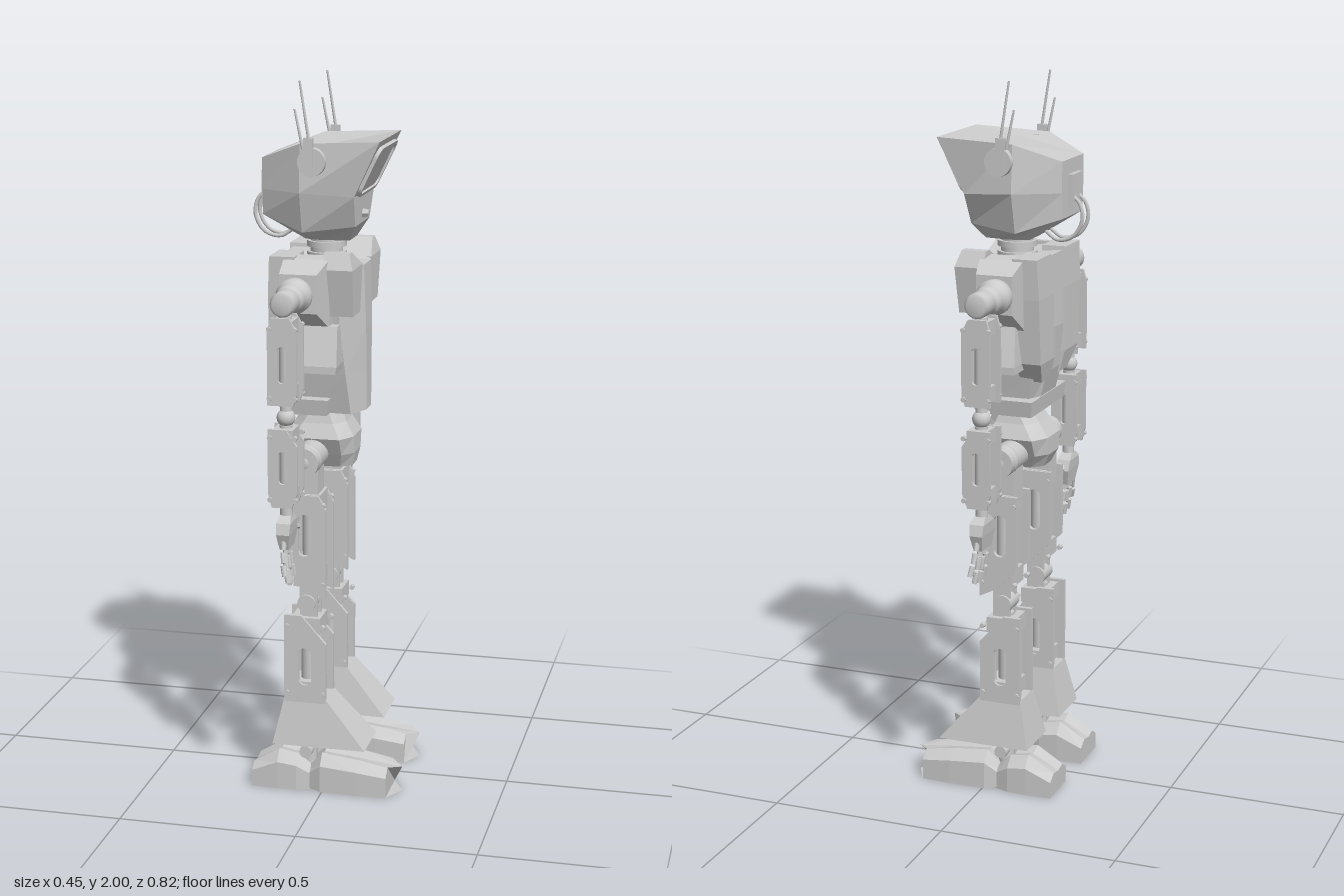
import * as THREE from 'three';

const flat = new THREE.MeshStandardMaterial({ color: 0xcccccc, flatShading: true, side: THREE.DoubleSide });
const smooth = new THREE.MeshStandardMaterial({ color: 0xcccccc });
const V = (p) => new THREE.Vector3(...p);

function add(parent, name, geo, mat = flat) {
  const m = new THREE.Mesh(geo, mat);
  m.name = name;
  parent.add(m);
}

// box given by its ranges on each axis
function box(x0, x1, y0, y1, z0, z1) {
  return new THREE.BoxGeometry(x1 - x0, y1 - y0, z1 - z0).translate((x0 + x1) / 2, (y0 + y1) / 2, (z0 + z1) / 2);
}

// cylinder running between two points
function rod(a, b, r0, r1 = r0, sides = 20) {
  const d = V(b).sub(V(a));
  const q = new THREE.Quaternion().setFromUnitVectors(new THREE.Vector3(0, 1, 0), d.clone().normalize());
  return new THREE.CylinderGeometry(r1, r0, d.length(), sides).applyQuaternion(q).translate(...V(a).addScaledVector(d, 0.5).toArray());
}

function ball(x, y, z, r) {
  return new THREE.SphereGeometry(r, 20, 14).translate(x, y, z);
}

// skin through equal-length rings of points, closed at both ends and turned outward
function loft(rings, capped = true) {
  const tris = [], n = rings[0].length;
  for (let i = 0; i < rings.length - 1; i++)
    for (let j = 0; j < n; j++) {
      const a = rings[i][j], b = rings[i][(j + 1) % n], c = rings[i + 1][(j + 1) % n], d = rings[i + 1][j];
      tris.push([a, c, b], [a, d, c]);
    }
  if (capped) for (let j = 1; j < n - 1; j++) {
    const e = rings[rings.length - 1];
    tris.push([rings[0][0], rings[0][j], rings[0][j + 1]], [e[0], e[j + 1], e[j]]);
  }
  const mid = V(rings[0][0]);
  const vol = tris.reduce((s, [a, b, c]) => s + V(a).sub(mid).dot(V(b).sub(mid).cross(V(c).sub(mid))), 0);
  if (vol < 0) tris.forEach((t) => t.reverse());
  const g = new THREE.BufferGeometry();
  g.setAttribute('position', new THREE.Float32BufferAttribute(tris.flat(2), 3));
  g.computeVertexNormals();
  return g;
}

// ring mirrored across z = 0 from its +z half
const sym = (half) => [...half, ...[...half].reverse().map(([x, y, z]) => [x, y, -z])];
// four-cornered level ring
const quad = (y, x0, x1, z0, z1) => [[x0, y, z0], [x1, y, z0], [x1, y, z1], [x0, y, z1]];

// rounded rectangle outline
function rounded(w, h, r, Type = THREE.Shape) {
  const s = new Type();
  [[w - r, h - r, 0], [r - w, h - r, 0.5], [r - w, r - h, 1], [w - r, r - h, 1.5]]
    .forEach(([x, y, a]) => s.absarc(x, y, r, a * Math.PI, (a + 0.5) * Math.PI));
  return s;
}

// side plate cut from an x-y outline with a rounded slot
function plate(pts, slot, z, t) {
  const s = new THREE.Shape(pts.map((p) => new THREE.Vector2(...p)));
  const [cx, cy, w, h] = slot;
  s.holes.push(new THREE.Path(rounded(w, h, w * 0.95, THREE.Path).getPoints(5).map((p) => p.add(new THREE.Vector2(cx, cy)))));
  return new THREE.ExtrudeGeometry(s, { depth: t, bevelEnabled: false, curveSegments: 5 }).translate(0, 0, z);
}

// open limb: two slotted plates, end blocks, a piston and corner bolts
function limb(parent, name, pts, slot, z, hw, y0, y1) {
  const g = new THREE.Group();
  g.name = name;
  const xs = pts.map((p) => p[0]), x0 = Math.min(...xs), x1 = Math.max(...xs), cx = (x0 + x1) / 2;
  const t = hw * 0.24, h = y1 - y0, hx = (x1 - x0) / 2;
  for (const s of [-1, 1]) {
    add(g, 'sidePlate', plate(pts, slot, s > 0 ? z + hw - t : z - hw, t));
    for (const y of [y0 + h * 0.12, y1 - h * 0.12])
      for (const dx of [-0.85, 0.85])
        add(g, 'bolt', rod([cx + dx * hx, y, z + s * hw * 0.8], [cx + dx * hx, y, z + s * hw * 1.12], 0.007, 0.007, 8));
  }
  add(g, 'upperBlock', box(cx - hx * 0.7, cx + hx * 0.7, y1 - h * 0.2, y1 - h * 0.03, z - hw * 0.85, z + hw * 0.85));
  add(g, 'lowerBlock', box(cx - hx * 0.7, cx + hx * 0.7, y0 + h * 0.08, y0 + h * 0.24, z - hw * 0.85, z + hw * 0.85));
  add(g, 'piston', rod([cx, y0, z], [cx, y1, z], hw * 0.42), smooth);
  for (const s of [-1, 1]) add(g, 'guideRod', rod([cx + hx * 0.4, y0 + h * 0.1, z + s * hw * 0.6], [cx + hx * 0.4, y1 - h * 0.1, z + s * hw * 0.6], hw * 0.1, hw * 0.1, 8), smooth);
  parent.add(g);
}

function buildArm(p) {
  const x = -0.06, z = 0.343;
  // shoulder block and joint
  const sh = (zz, x0, x1, y0, y1) => [[x0, y0, zz], [x1, y0, zz], [x1, y1, zz], [x0, y1, zz]];
  add(p, 'shoulderBlock', loft([sh(0.12, -0.11, 0.02, 1.3, 1.53), sh(0.165, -0.11, 0.015, 1.34, 1.525), sh(0.236, -0.105, -0.002, 1.39, 1.495)]));
  const prof = [[0, 0.22], [0.042, 0.22], [0.048, 0.24], [0.048, 0.265], [0.036, 0.275], [0.041, 0.29], [0.036, 0.308], [0.026, 0.316], [0.034, 0.322], [0.034, 0.375], [0.026, 0.383], [0, 0.383]];
  add(p, 'shoulderJoint', new THREE.LatheGeometry(prof.map((a) => new THREE.Vector2(...a)), 24).rotateX(Math.PI / 2).translate(x, 1.44, 0), smooth);
  // upper arm, elbow, forearm
  limb(p, 'upperArm', [[-0.1, 1.17], [-0.03, 1.17], [-0.02, 1.2], [-0.02, 1.37], [-0.04, 1.405], [-0.09, 1.405], [-0.1, 1.37]], [x, 1.28, 0.011, 0.05], z, 0.042, 1.16, 1.405);
  add(p, 'elbow', ball(x, 1.13, z, 0.025), smooth);
  add(p, 'elbowRod', rod([x, 1.08, z], [x, 1.18, z], 0.016), smooth);
  limb(p, 'forearm', [[-0.09, 0.89], [-0.035, 0.89], [-0.02, 0.93], [-0.02, 1.06], [-0.05, 1.105], [-0.1, 1.105], [-0.1, 0.93]], [x, 1.0, 0.011, 0.045], z, 0.042, 0.885, 1.11);
  add(p, 'wrist', rod([x, 0.84, z], [x, 0.9, z], 0.017), smooth);
  // hand with four jointed fingers and a thumb
  const palm = (y, z0, z1, d) => quad(y, x - d, x + d, z0, z1);
  add(p, 'palm', loft([palm(0.77, 0.305, 0.372, 0.012), palm(0.815, 0.292, 0.388, 0.018), palm(0.845, 0.305, 0.38, 0.02), palm(0.862, 0.328, 0.36, 0.016)]));
  const digit = (name, z0, y0, z1, y1) => {
    for (let i = 0; i < 3; i++) {
      const at = (f) => [x + 0.012 * f * f, y0 + (y1 - y0) * f, z0 + (z1 - z0) * f];
      add(p, name, rod(at(i / 3), at((i + 0.8) / 3), 0.0085, 0.007, 8));
    }
  };
  for (let i = 0; i < 4; i++) digit('finger', 0.313 + i * 0.02, 0.785 + (i === 3 ? 0.015 : 0), 0.306 + i * 0.034, [0.672, 0.662, 0.67, 0.7][i]);
  digit('thumb', 0.305, 0.825, 0.248, 0.8);
}

function buildLeg(p) {
  const x = -0.05, z = 0.135;
  // hip
  add(p, 'hipJoint', rod([x, 0.965, 0.07], [x, 0.965, 0.2], 0.042), smooth);
  add(p, 'hipBall', ball(x, 0.965, 0.16, 0.044), smooth);
  add(p, 'hipBlock', box(-0.085, -0.015, 0.86, 0.95, 0.1, 0.172));
  // thigh, knee, shin
  limb(p, 'thigh', [[-0.1, 0.66], [-0.04, 0.6], [0.01, 0.575], [0.01, 0.83], [-0.01, 0.87], [-0.1, 0.87]], [x, 0.755, 0.018, 0.06], z, 0.053, 0.58, 0.88);
  add(p, 'knee', rod([x, 0.55, 0.1], [x, 0.55, 0.17], 0.026), smooth);
  for (const s of [-1, 1]) add(p, 'kneeStrut', box(-0.07, -0.02, 0.49, 0.61, z + s * 0.022 - 0.006, z + s * 0.022 + 0.006));
  limb(p, 'shin', [[-0.11, 0.26], [0.01, 0.26], [0.01, 0.44], [-0.06, 0.52], [-0.11, 0.52]], [x, 0.37, 0.018, 0.055], z, 0.053, 0.26, 0.52);
  // flared shin skirt
  add(p, 'shinSkirt', loft([quad(0.14, -0.14, 0.127, 0.055, 0.21), quad(0.275, -0.11, 0.01, 0.082, 0.186)]));
  // ankle
  add(p, 'ankle', rod([x, 0.06, z], [x, 0.16, z], 0.022), smooth);
  add(p, 'anklePin', rod([x, 0.112, 0.08], [x, 0.112, 0.185], 0.018), smooth);
  // two-part foot, each lofted along x with a creased centre line
  const c = 0.13, sec = (xs, w, h, dx = 0, b = 0) => [[xs, b, c - w], [xs, h * 0.72, c - w], [xs, h, c - w * 0.55], [xs + dx, h * 0.9, c], [xs, h, c + w * 0.55], [xs, h * 0.72, c + w], [xs, b, c + w], [xs + dx, b, c]];
  add(p, 'heel', loft([sec(-0.205, 0.065, 0.065), sec(-0.13, 0.068, 0.11), sec(-0.075, 0.066, 0.1), sec(-0.025, 0.05, 0.055)]));
  add(p, 'toe', loft([sec(-0.06, 0.045, 0.045, 0, 0.005), sec(-0.005, 0.068, 0.108), sec(0.1, 0.07, 0.096), sec(0.185, 0.066, 0.08, 0.035)]));
}

function buildTorsoSide(p) {
  // flank pod, back wing and belt flap
  add(p, 'flankPod', loft([quad(1.22, -0.1, 0.042, 0.1, 0.206), quad(1.24, -0.1, 0.045, 0.1, 0.206), quad(1.345, -0.09, 0.04, 0.1, 0.172)]));
  add(p, 'backWing', loft([quad(1.18, -0.14, -0.08, 0.04, 0.1), quad(1.24, -0.155, -0.08, 0.04, 0.15), quad(1.42, -0.155, -0.08, 0.05, 0.165), quad(1.53, -0.15, -0.08, 0.06, 0.17)]));
  add(p, 'beltFlap', loft([quad(1.085, -0.12, 0.0, 0.0, 0.13), quad(1.13, -0.125, 0.005, 0.0, 0.138)]));
  // collar plate rising beside the neck
  add(p, 'collarPlate', loft([quad(1.37, 0.015, 0.08, 0.07, 0.155), quad(1.5, 0.0, 0.083, 0.055, 0.18), quad(1.543, 0.0, 0.07, 0.13, 0.158)]));
}

function buildHeadSide(p) {
  const ex = -0.035, ey = 1.785;
  // ear disc and antennas
  add(p, 'earDisc', rod([ex, ey, 0.13], [ex, ey, 0.163], 0.04, 0.038, 28), smooth);
  add(p, 'antennaMount', box(-0.055, -0.03, 1.77, 1.85, 0.15, 0.166));
  add(p, 'longAntenna', rod([-0.038, 1.82, 0.157], [-0.066, 2.0, 0.157], 0.0045, 0.003, 8), smooth);
  add(p, 'shortAntenna', rod([-0.058, 1.82, 0.157], [-0.08, 1.925, 0.157], 0.0045, 0.003, 8), smooth);
  // hose looping from the back of the head to the neck
  const path = new THREE.CatmullRomCurve3([[-0.19, 1.69, 0.02], [-0.218, 1.665, 0.022], [-0.226, 1.62, 0.024], [-0.2, 1.575, 0.024], [-0.155, 1.563, 0.022], [-0.12, 1.585, 0.02]].map(V));
  add(p, 'neckHose', new THREE.TubeGeometry(path, 24, 0.0055, 8), smooth);
}

// copy of a side across z = 0, with face order reversed
function mirrored(side) {
  const g = side.clone(true);
  g.traverse((m) => {
    if (!m.isMesh) return;
    m.geometry = m.geometry.clone().scale(1, 1, -1);
    const n = m.geometry, old = n.index ? [...n.index.array] : [...Array(n.attributes.position.count).keys()];
    n.setIndex(old.map((v, i) => (i % 3 === 0 ? v : i % 3 === 1 ? old[i + 1] : old[i - 1])));
  });
  return g;
}

export function createModel() {
  const root = new THREE.Group();
  root.name = 'robot';

  // head
  add(root, 'head', loft([
    sym([[-0.08, 1.56, 0.04], [-0.03, 1.56, 0.055], [0.045, 1.56, 0.045]]),
    sym([[-0.19, 1.63, 0.08], [-0.07, 1.59, 0.125], [0.07, 1.605, 0.09]]),
    sym([[-0.19, 1.7, 0.085], [-0.07, 1.7, 0.153], [0.075, 1.69, 0.128]]),
    sym([[-0.19, 1.785, 0.085], [-0.07, 1.832, 0.145], [0.148, 1.842, 0.143]])]));
  const face = (g) => g.rotateY(Math.PI / 2).rotateZ(-0.448).translate(0.107, 1.757, 0);
  const rim = rounded(0.118, 0.074, 0.03);
  rim.holes.push(rounded(0.108, 0.064, 0.024, THREE.Path));
  add(root, 'screenRim', face(new THREE.ExtrudeGeometry(rim, { depth: 0.01, bevelEnabled: false })));
  add(root, 'screen', face(new THREE.ExtrudeGeometry(rounded(0.11, 0.066, 0.024), { depth: 0.004, bevelEnabled: false })));
  add(root, 'nose', rod([0.06, 1.63, 0], [0.088, 1.63, 0], 0.016, 0.01, 6));
  add(root, 'headBackPlate', box(-0.204, -0.185, 1.65, 1.745, -0.042, 0.042));

  // neck
  add(root, 'neck', rod([-0.03, 1.48, 0], [-0.03, 1.57, 0], 0.045), smooth);
  for (const y of [1.515, 1.545]) add(root, 'neckRing', rod([-0.03, y - 0.008, 0], [-0.03, y + 0.008, 0], 0.055), smooth);

  // torso
  add(root, 'torso', loft([
    sym([[-0.11, 1.085, 0.06], [-0.09, 1.085, 0.09], [0.06, 1.085, 0.095], [0.09, 1.085, 0.03]]),
    sym([[-0.14, 1.2, 0.06], [-0.12, 1.2, 0.11], [0.05, 1.2, 0.118], [0.09, 1.2, 0.032]]),
    sym([[-0.15, 1.32, 0.07], [-0.12, 1.32, 0.125], [0.04, 1.32, 0.138], [0.09, 1.32, 0.038]]),
    sym([[-0.14, 1.52, 0.06], [-0.12, 1.52, 0.13], [0.03, 1.52, 0.15], [0.085, 1.495, 0.045]])]));

  // pelvis
  add(root, 'pelvis', loft([[0.922, 0.055, -0.12, 0.05], [0.96, 0.075, -0.14, 0.058], [1.01, 0.1, -0.14, 0.058], [1.05, 0.08, -0.11, 0.035], [1.09, 0.068, -0.085, 0.02]]
    .map(([y, w, x0, x1]) => sym([[x0, y, w * 0.5], [x0 + 0.03, y, w], [x1 - 0.03, y, w], [x1, y, w * 0.5]]))));

  // paired parts
  for (const [name, build] of [['Arm', buildArm], ['Leg', buildLeg], ['TorsoSide', buildTorsoSide], ['HeadSide', buildHeadSide]]) {
    const side = new THREE.Group();
    build(side);
    const other = mirrored(side);
    side.name = 'right' + name;
    other.name = 'left' + name;
    root.add(side, other);
  }
  return root;
}
